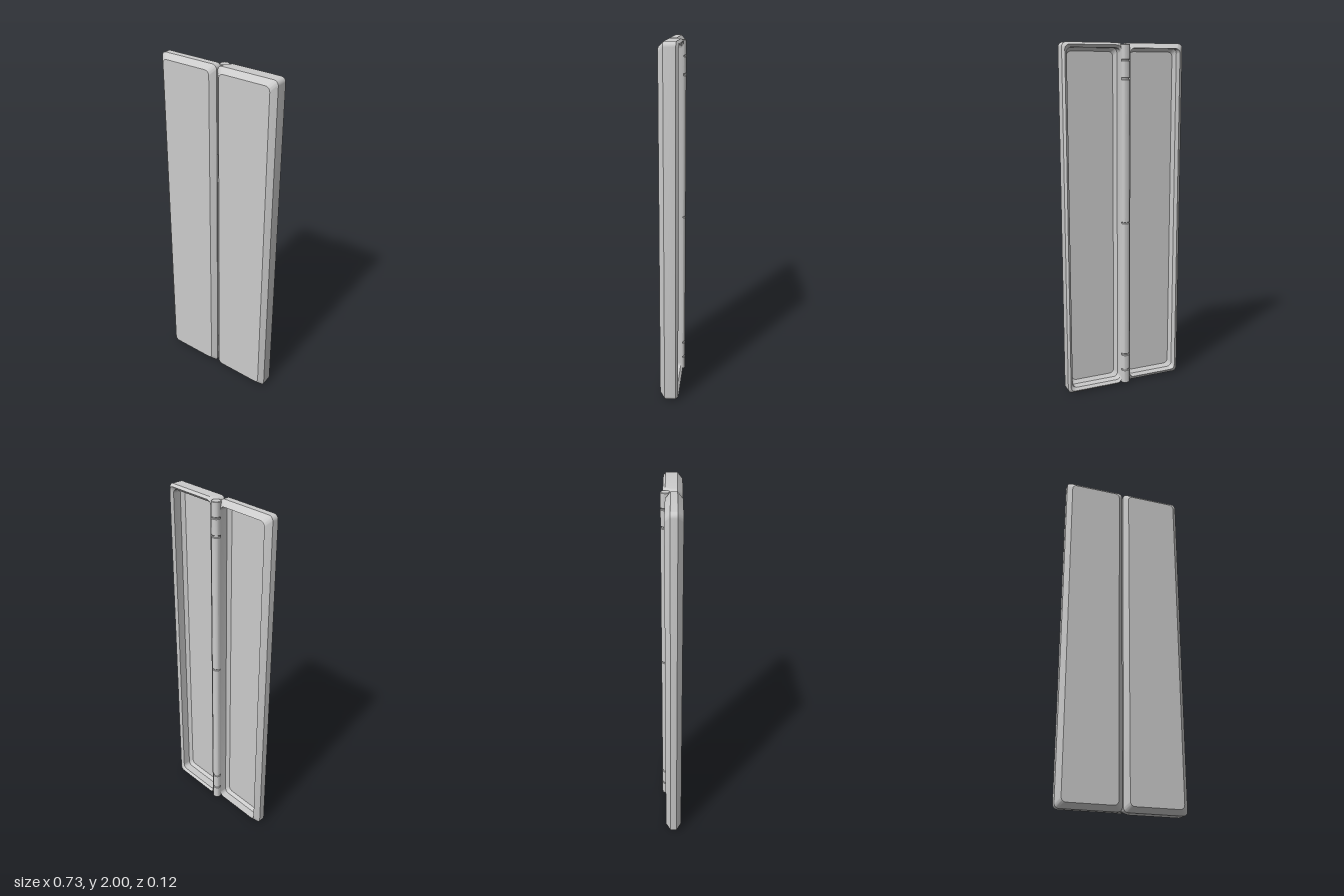
import * as THREE from 'three';
import { toCreasedNormals } from 'three/addons/utils/BufferGeometryUtils.js';

const WIDTH = 0.36, HEIGHT = 2, GAP = 0.003, CORNER = 0.026, CORNER_STEPS = 6;
const HINGE_Z = -0.033, HINGE_R = 0.026;

// Rounded rectangle, counter-clockwise seen from the front
function roundedLoop(x0, x1, y0, y1, z) {
  const r = CORNER, pts = [];
  const corners = [[x1 - r, y1 - r], [x0 + r, y1 - r], [x0 + r, y0 + r], [x1 - r, y0 + r]];
  corners.forEach(([cx, cy], k) => {
    for (let i = 0; i <= CORNER_STEPS; i++) {
      const a = (k + i / CORNER_STEPS) * Math.PI / 2;
      pts.push([cx + r * Math.cos(a), cy + r * Math.sin(a), z]);
    }
  });
  return pts;
}

// Tray skinned through loops; each section is [inset, z, inset on the hinge side]
function trayGeometry(side, sections) {
  const loops = sections.map(([inset, z, hingeInset = inset]) => {
    const near = side * (GAP + hingeInset), far = side * (GAP + WIDTH - inset);
    return roundedLoop(Math.min(near, far), Math.max(near, far), inset, HEIGHT - inset, z);
  });
  const n = loops[0].length;
  const centre = z => Array(n).fill([side * (GAP + WIDTH / 2), HEIGHT / 2, z]);
  loops.unshift(centre(sections[0][1]));
  loops.push(centre(sections[sections.length - 1][1]));

  const pos = [];
  for (let k = 0; k < loops.length - 1; k++) {
    const a = loops[k], b = loops[k + 1];
    for (let j = 0; j < n; j++) {
      const m = (j + 1) % n;
      if (k < loops.length - 2) pos.push(...a[j], ...b[j], ...b[m]);
      else pos.push(...a[j], ...b[j], ...a[m]);
      if (k > 0 && k < loops.length - 2) pos.push(...a[j], ...b[m], ...a[m]);
    }
  }
  const g = new THREE.BufferGeometry();
  g.setAttribute('position', new THREE.Float32BufferAttribute(pos, 3));
  return toCreasedNormals(g, 0.5);
}

// Barrel with small bevels at both ends
function barrelGeometry(y0, y1, r) {
  const c = 0.003;
  const profile = [[0, y0], [r - c, y0], [r, y0 + c], [r, y1 - c], [r - c, y1], [0, y1]];
  const g = new THREE.LatheGeometry(profile.map(p => new THREE.Vector2(...p)), 32);
  return toCreasedNormals(g, 0.5);
}

export function createModel() {
  const group = new THREE.Group();
  const material = new THREE.MeshStandardMaterial({ color: 0xcccccc });
  const add = (name, geometry) => {
    const mesh = new THREE.Mesh(geometry, material);
    mesh.name = name;
    group.add(mesh);
    return mesh;
  };

  const front = [[0.028, 0.058], [0, 0.03]];
  const inside = [[0.028, -0.034], [0.028, 0.012], [0.046, 0.03]];

  // Right half: bevelled lip that nests into the other half
  add('rightTray', trayGeometry(-1, [...front, [0, -0.006], ...inside]));

  // Left half: raised rim, cut back on the hinge side
  add('leftTray', trayGeometry(1, [
    ...front, [0, -0.008], [0, -0.034, 0.024], [0.013, -0.047, 0.025], ...inside,
  ]));

  // Hinge barrels, mirrored about mid-height
  const barrels = [['hingeEnd', 0.008, 0.09], ['hingeKnuckle', 0.096, 0.187], ['hingeBarrel', 0.195, 0.998]];
  for (const [name, y0, y1] of barrels) {
    add(name + 'Lower', barrelGeometry(y0, y1, HINGE_R)).position.z = HINGE_Z;
    add(name + 'Upper', barrelGeometry(HEIGHT - y1, HEIGHT - y0, HINGE_R)).position.z = HINGE_Z;
  }
  add('hingePin', barrelGeometry(0.02, HEIGHT - 0.02, 0.021)).position.z = HINGE_Z;

  return group;
}
